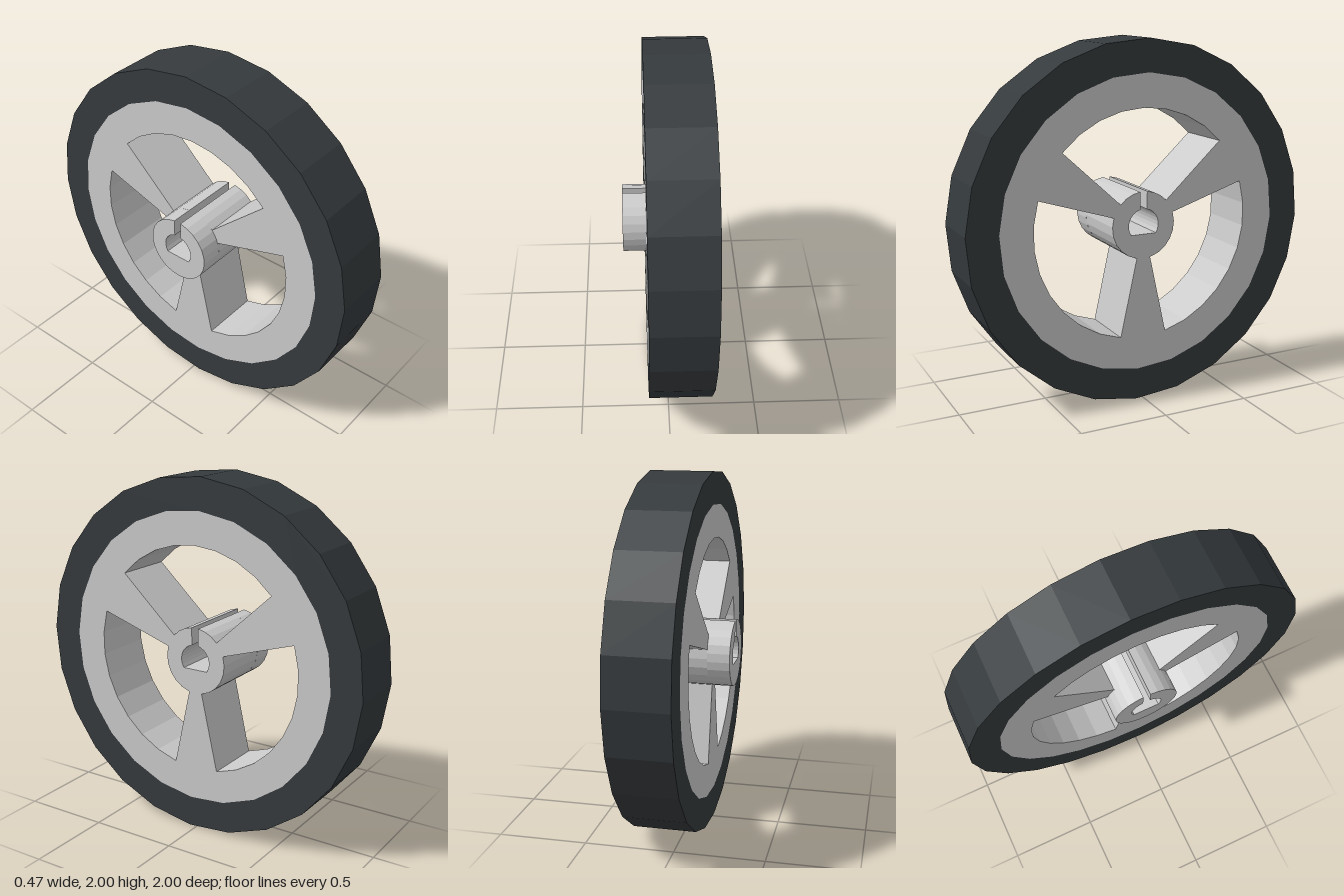
import * as THREE from 'three';

const GREY = new THREE.MeshStandardMaterial({ color: 0xcccccc, flatShading: true });
const RUBBER = new THREE.MeshStandardMaterial({ color: 0x353a3d, flatShading: true });

const BACK = -0.115, FRONT = 0.23, BOSS_END = -0.24; // positions along the axle (x)
const TIRE_R = 1, RIM_R = 0.822, WINDOW_R = 0.637, HUB_R = 0.187, BORE_R = 0.09;
const SLOT = 0.021, FLAT = 0.05, SPOKE_HALF = 12.5;

// Points along a faceted arc, angles in degrees
function arc(r, from, to, n) {
  return Array.from({ length: n + 1 }, (_, i) => {
    const a = THREE.MathUtils.degToRad(from + ((to - from) * i) / n);
    return new THREE.Vector2(r * Math.cos(a), r * Math.sin(a));
  });
}
const ring = (r) => arc(r, 87.7, 447.7, 24).slice(0, -1);
const asinDeg = (v) => THREE.MathUtils.radToDeg(Math.asin(v));

// Extrudes an outline with holes along the axle
function disc(name, outline, holes, x0, x1, material) {
  const shape = new THREE.Shape(outline);
  shape.holes = holes.map((h) => new THREE.Path(h));
  const geometry = new THREE.ExtrudeGeometry(shape, { depth: x1 - x0, bevelEnabled: false });
  geometry.rotateY(Math.PI / 2).translate(x0, 1, 0);
  const mesh = new THREE.Mesh(geometry, material);
  mesh.name = name;
  return mesh;
}

export function createModel() {
  const group = new THREE.Group();
  group.name = 'wheel';

  // D-shaped bore, open at the top where the slot meets it
  const slotIn = asinDeg(SLOT / BORE_R), slotOut = asinDeg(SLOT / HUB_R), flat = asinDeg(FLAT / BORE_R);
  const bore = [
    ...arc(BORE_R, 90 + slotIn, 180 + flat, 8),
    ...arc(BORE_R, 360 - flat, 450 - slotIn, 8),
  ];

  // Window between two spokes; the top one runs through the slot into the bore
  const lo = 30 + SPOKE_HALF, hi = 150 - SPOKE_HALF;
  const topWindow = [
    ...arc(WINDOW_R, lo, hi, 8),
    ...arc(HUB_R, hi, 90 + slotOut, 3),
    ...bore,
    ...arc(HUB_R, 90 - slotOut, lo, 3),
  ];
  const sideWindows = [120, 240].map((turn) => [
    ...arc(WINDOW_R, lo + turn, hi + turn, 8),
    ...arc(HUB_R, hi + turn, lo + turn, 6),
  ]);

  // Tire, spoked rim, and the split boss protruding on one side
  group.add(
    disc('tire', ring(TIRE_R), [ring(RIM_R)], BACK, FRONT, RUBBER),
    disc('spokedRim', ring(RIM_R), [topWindow, ...sideWindows], BACK, FRONT, GREY),
    disc('hubBoss', [...arc(HUB_R, 90 + slotOut, 450 - slotOut, 24), ...[...bore].reverse()], [], BOSS_END, BACK, GREY),
  );
  return group;
}
